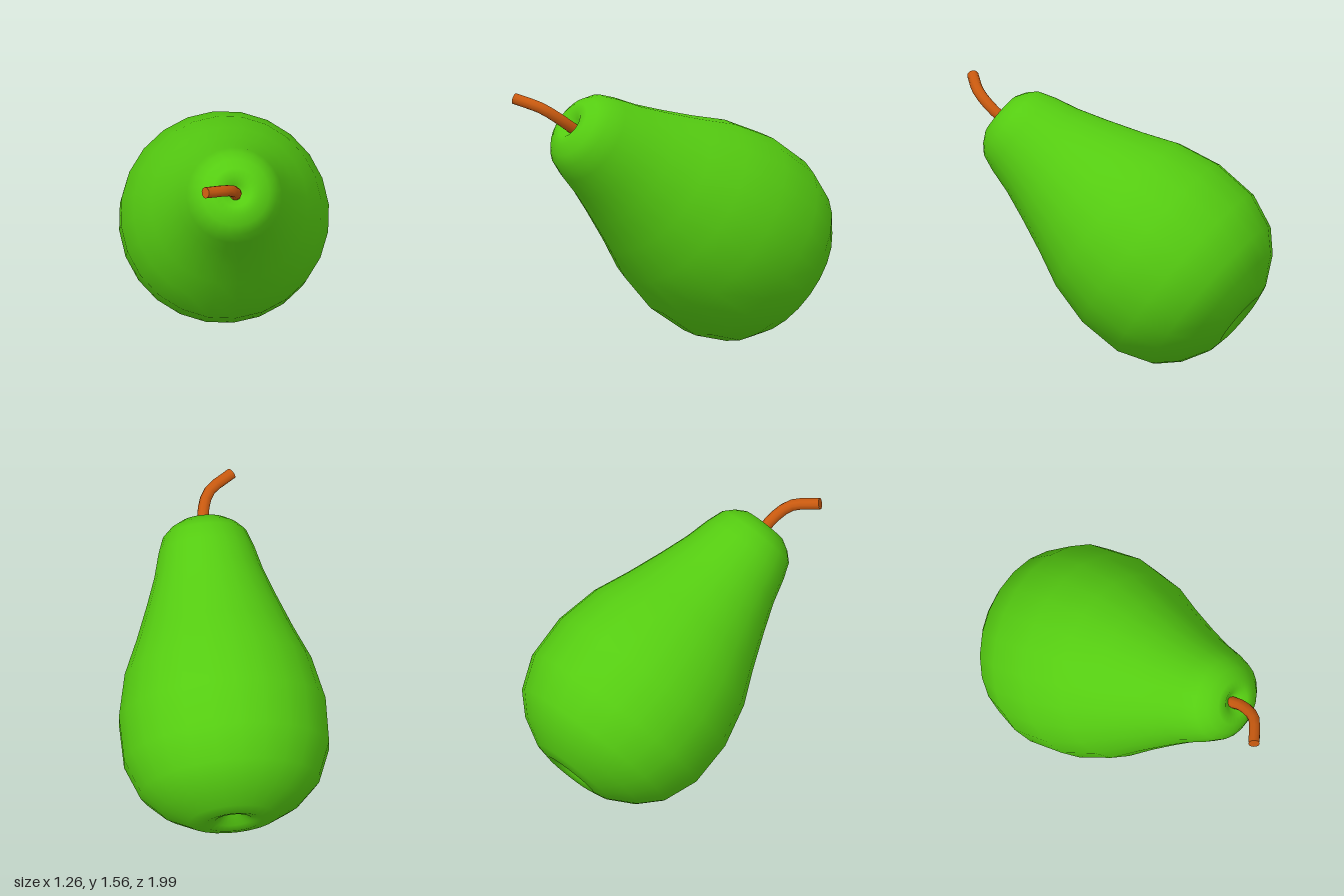
import * as THREE from 'three';

export function createModel() {
  const pear = new THREE.Group();
  pear.name = 'pear';
  const skin = new THREE.MeshStandardMaterial({ color: 0x55cc11 });
  const wood = new THREE.MeshStandardMaterial({ color: 0xc8590f });

  // Fruit: radius and height along its core, from the base dimple to the stem dimple
  const profile = [
    [0, -0.48], [0.05, -0.505], [0.11, -0.55], [0.17, -0.565], [0.265, -0.545],
    [0.42, -0.46], [0.536, -0.343], [0.615, -0.142], [0.62, 0.13], [0.56, 0.39],
    [0.468, 0.6], [0.386, 0.81], [0.325, 0.98], [0.285, 1.13], [0.25, 1.225],
    [0.2, 1.275], [0.14, 1.31], [0.09, 1.315], [0.05, 1.285], [0, 1.25],
  ].map(([r, y]) => new THREE.Vector2(r, y));
  const fruit = new THREE.Mesh(new THREE.LatheGeometry(profile, 24), skin);
  fruit.name = 'fruit';
  // The pear lies on its belly, with the neck leaning forward and up
  const core = new THREE.Vector3(0.16, 0.575, 0.803).normalize();
  fruit.quaternion.setFromUnitVectors(new THREE.Vector3(0, 1, 0), core);
  fruit.position.set(0, 0.635, -0.375);
  pear.add(fruit);

  // Bent stem with a closed tip
  const path = new THREE.CatmullRomCurve3([
    new THREE.Vector3(0.195, 1.33, 0.62),
    new THREE.Vector3(0.215, 1.41, 0.73),
    new THREE.Vector3(0.19, 1.485, 0.845),
    new THREE.Vector3(0.065, 1.532, 0.975),
  ]);
  const stem = new THREE.Group();
  stem.name = 'stem';
  const shaft = new THREE.Mesh(new THREE.TubeGeometry(path, 8, 0.034, 10), wood);
  shaft.name = 'stemShaft';
  const tip = new THREE.Mesh(new THREE.CircleGeometry(0.034, 10), wood);
  tip.name = 'stemTip';
  tip.position.copy(path.getPoint(1));
  tip.quaternion.setFromUnitVectors(new THREE.Vector3(0, 0, 1), path.getTangent(1));
  stem.add(shaft, tip);
  pear.add(stem);

  return pear;
}
